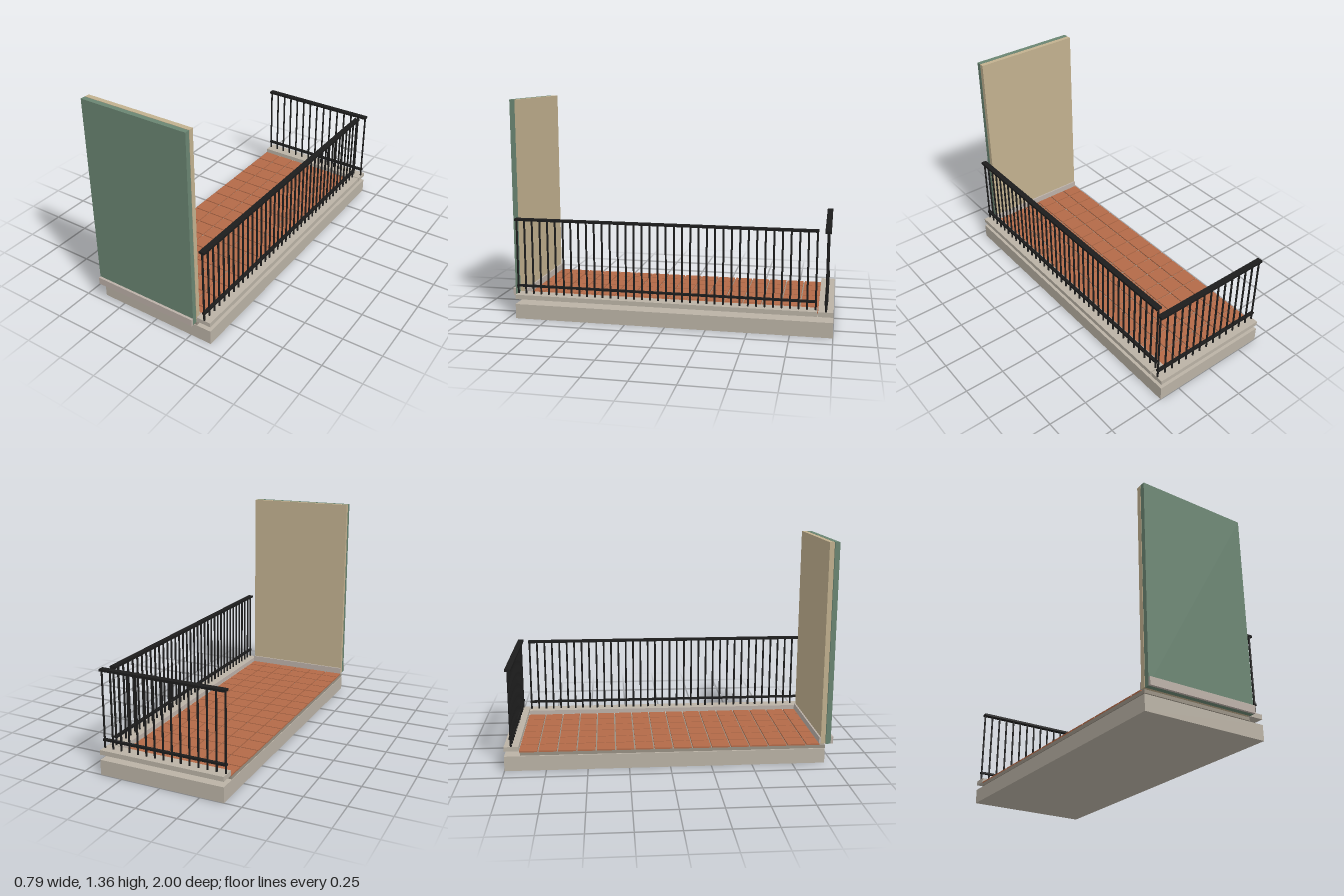
import * as THREE from 'three';

const mat = (name, color) => {
  const m = new THREE.MeshStandardMaterial({ color });
  m.name = name;
  return m;
};

export function createModel() {
  const concrete = mat('concrete', 0xbab2a5);
  const mortar = mat('mortar', 0x989083);
  const terracotta = mat('terracotta', 0xb36a48);
  const green = mat('green render', 0x6a8572);
  const beige = mat('beige plaster', 0xc2b18f);
  const skirting = mat('skirting stone', 0xbcb1a8);
  const iron = mat('black iron', 0x1c1c1c);

  const model = new THREE.Group();
  model.name = 'balcony';

  // Box given by its extents along each axis
  const box = (parent, name, material, [x0, x1], [y0, y1], [z0, z1]) => {
    const mesh = new THREE.Mesh(new THREE.BoxGeometry(x1 - x0, y1 - y0, z1 - z0), material);
    mesh.position.set((x0 + x1) / 2, (y0 + y1) / 2, (z0 + z1) / 2);
    mesh.name = name;
    parent.add(mesh);
    return mesh;
  };

  const L = -0.395, R = 0.39, inner = 0.297;

  // Floor build-up
  box(model, 'slab', concrete, [L, R], [0, 0.092], [-1, 0.95]);
  box(model, 'mortarBed', mortar, [L, inner], [0.096, 0.116], [-0.905, 0.95]);

  // Tiles, the front row cut short against the wall
  const tiles = new THREE.Group();
  tiles.name = 'tiles';
  model.add(tiles);
  for (let row = 0; row < 16; row++) {
    const z = -0.91 + row * 0.1164;
    for (let col = 0; col < 6; col++) {
      const x = L + col * 0.1161;
      box(tiles, 'tile', terracotta, [x, x + 0.108], [0.116, 0.125], [z, Math.min(z + 0.108, 0.915)]);
    }
  }

  // Coping stones under the railings, with a narrow inner edge strip
  box(model, 'sideCoping', concrete, [0.306, R], [0.124, 0.152], [-0.905, 0.95]);
  box(model, 'sideEdgeStrip', skirting, [inner, 0.306], [0.124, 0.152], [-0.905, 0.95]);
  box(model, 'backCoping', concrete, [L, R], [0.124, 0.152], [-1, -0.912]);

  // Wall at the front end
  box(model, 'innerWallPanel', beige, [L, inner], [0.125, 1.357], [0.923, 0.952]);
  box(model, 'outerWallPanel', green, [L, inner], [0.122, 1.357], [0.955, 0.985]);
  box(model, 'outerSkirting', skirting, [L, inner], [0.122, 0.168], [0.985, 1]);
  box(model, 'innerSkirting', skirting, [L, inner], [0.125, 0.165], [0.913, 0.923]);

  // Railing along local x: two rails and evenly spaced balusters
  const barGeometry = new THREE.CylinderGeometry(0.006, 0.006, 0.468, 10);
  const railing = (name, length, count) => {
    const group = new THREE.Group();
    group.name = name;
    const h = length / 2;
    box(group, 'handrail', iron, [-h, h], [0.616, 0.63], [-0.018, 0.018]);
    box(group, 'bottomRail', iron, [-h, h], [0.196, 0.208], [-0.01, 0.01]);
    for (let i = 0; i < count; i++) {
      const bar = new THREE.Mesh(barGeometry, iron);
      bar.name = 'baluster';
      bar.position.set(-h + 0.007 + (i * (length - 0.014)) / (count - 1), 0.384, 0);
      group.add(bar);
    }
    model.add(group);
    return group;
  };
  railing('backRailing', 0.783, 15).position.set(-0.002, 0, -0.957);
  const side = railing('sideRailing', 1.855, 38);
  side.position.set(0.346, 0, 0.024);
  side.rotation.y = Math.PI / 2;

  return model;
}
